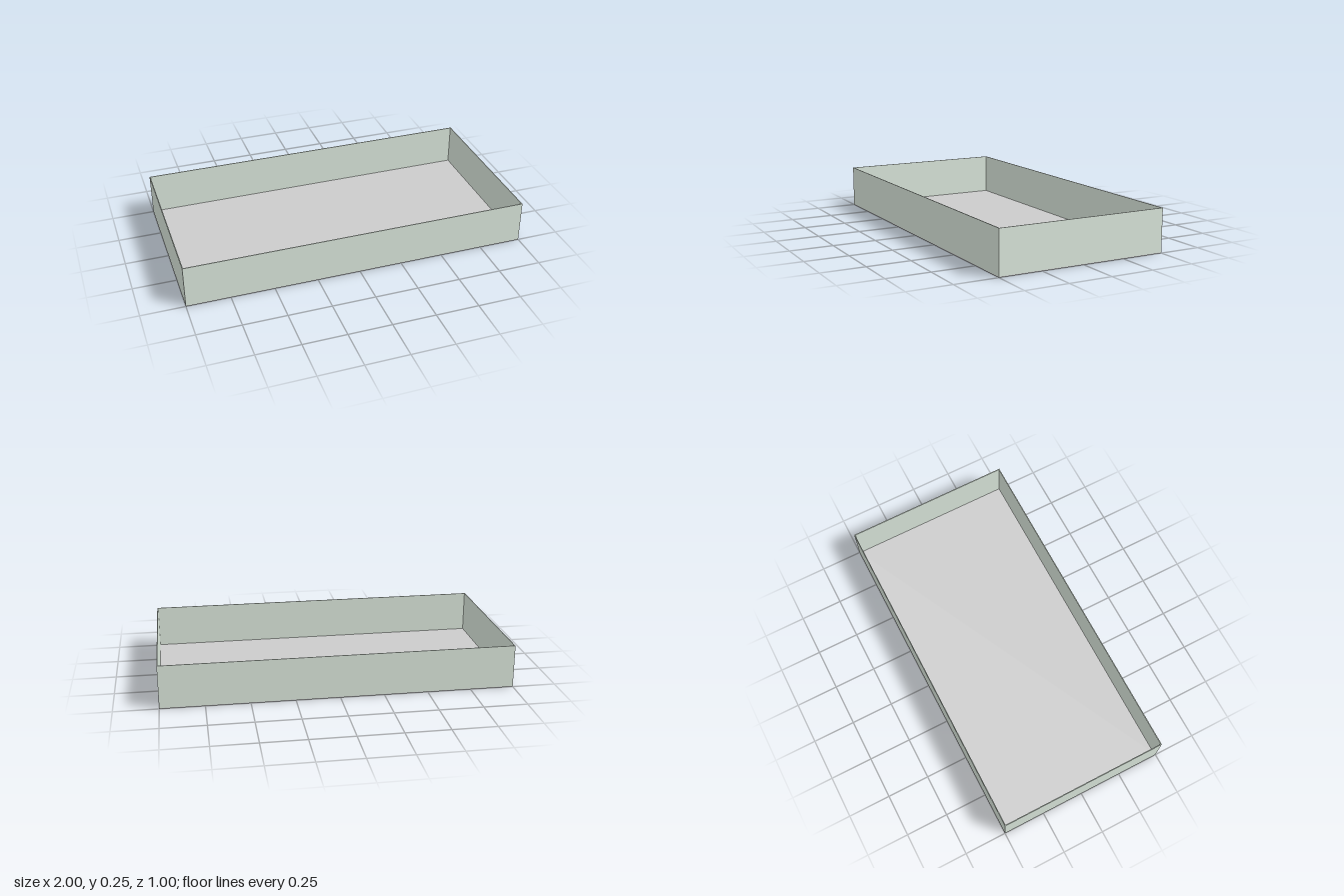
import * as THREE from 'three';

const LENGTH = 2, DEPTH = 1, HEIGHT = 0.25, WALL = 0.005;

export function createModel() {
  const tray = new THREE.Group();
  tray.name = 'tray';
  const wallMaterial = new THREE.MeshStandardMaterial({ color: 0xdce8dd });
  const floorMaterial = new THREE.MeshStandardMaterial({ color: 0xcccccc });

  const addBox = (name, size, position, material) => {
    const mesh = new THREE.Mesh(new THREE.BoxGeometry(...size), material);
    mesh.name = name;
    mesh.position.set(...position);
    tray.add(mesh);
  };

  // Thin base sheet
  addBox('floor', [LENGTH, WALL, DEPTH], [0, WALL / 2, 0], floorMaterial);

  // Four thin walls standing on the base, long ones running the full length
  const wallHeight = HEIGHT - WALL;
  const wallY = WALL + wallHeight / 2;
  for (const side of [1, -1]) {
    addBox(side > 0 ? 'frontWall' : 'backWall', [LENGTH, wallHeight, WALL],
      [0, wallY, side * (DEPTH - WALL) / 2], wallMaterial);
    addBox(side > 0 ? 'leftWall' : 'rightWall', [WALL, wallHeight, DEPTH - 2 * WALL],
      [side * (LENGTH - WALL) / 2, wallY, 0], wallMaterial);
  }
  return tray;
}
